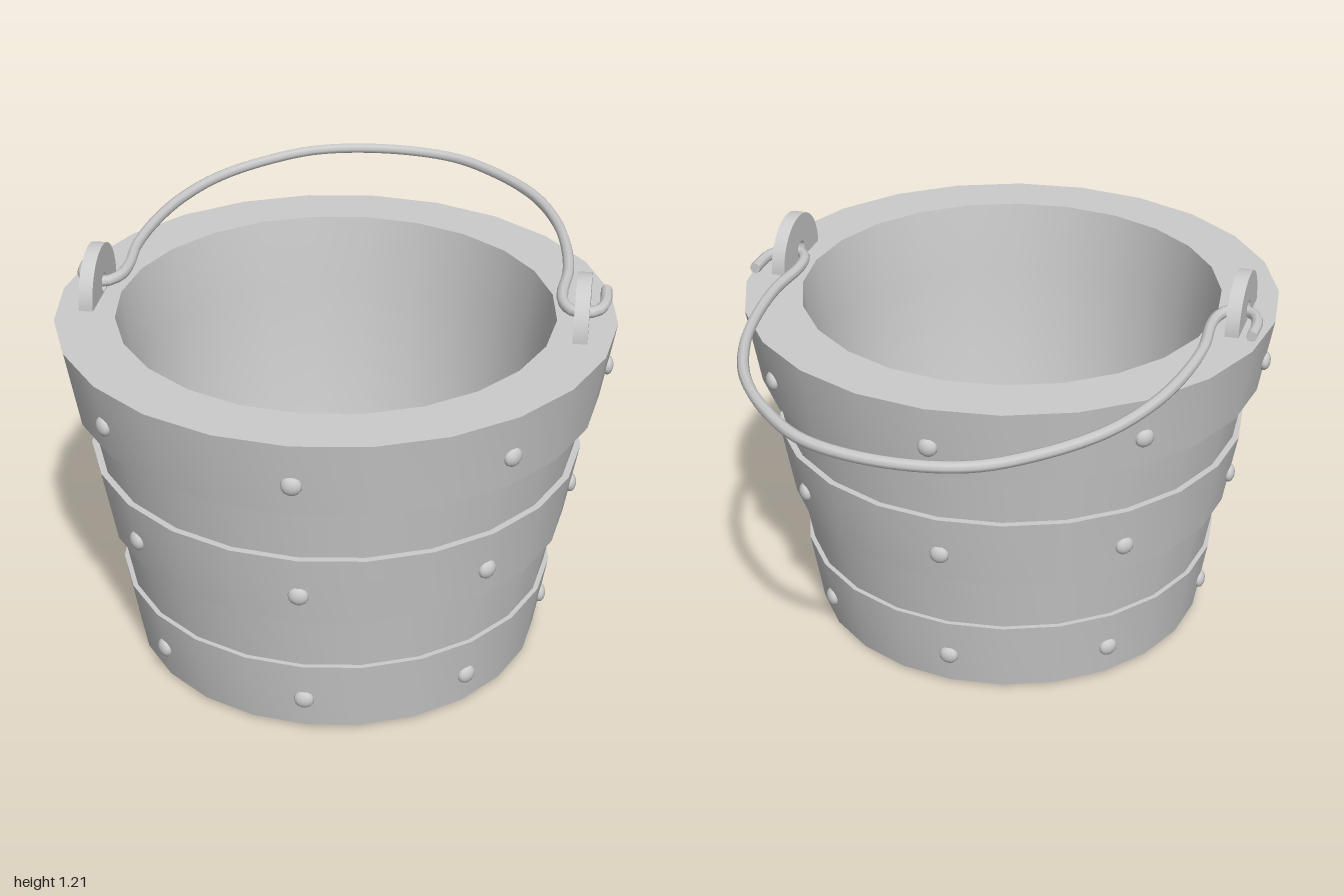
import * as THREE from 'three';
import { toCreasedNormals } from 'three/addons/utils/BufferGeometryUtils.js';

const SIDES = 24;
const TOP = 1.065;
const material = new THREE.MeshStandardMaterial({ color: 0xcccccc });

// Outer radius of the tapered wall at height y
const wallRadius = (y) => 0.604 + 0.17 * y;

function part(name, geometry) {
  const mesh = new THREE.Mesh(geometry, material);
  mesh.name = name;
  return mesh;
}

function lathe(points) {
  const profile = points.map(([r, y]) => new THREE.Vector2(r, y));
  return toCreasedNormals(new THREE.LatheGeometry(profile, SIDES), 0.6);
}

export function createModel() {
  const model = new THREE.Group();
  model.name = 'bucket';

  // The bucket sits forward of the origin, the lowered handle reaches back
  const pail = new THREE.Group();
  pail.name = 'pail';
  pail.position.z = 0.18;
  model.add(pail);

  // Wall, rim, hollow inside and floor in one profile
  pail.add(part('body', lathe([
    [0, 0], [0.55, 0], [wallRadius(0.008), 0.008], [wallRadius(TOP), TOP],
    [0.645, TOP], [0.615, 0.84], [0.56, 0.15], [0.545, 0.11], [0.51, 0.1], [0, 0.1],
  ])));

  // Bands: bottom height and radius, top height and radius, rivet height
  const bands = [
    { name: 'lowerBand', y0: 0.01, r0: 0.622, y1: 0.243, r1: 0.66, rivetY: 0.115 },
    { name: 'middleBand', y0: 0.425, r0: 0.695, y1: 0.655, r1: 0.735, rivetY: 0.525 },
    { name: 'upperBand', y0: 0.83, r0: 0.78, y1: TOP, r1: 0.82, rivetY: 0.932 },
  ];
  const rivetGeometry = new THREE.SphereGeometry(0.03, 12, 8);
  rivetGeometry.scale(1, 0.95, 0.6);

  for (const { name, y0, r0, y1, r1, rivetY } of bands) {
    pail.add(part(name, lathe([
      [wallRadius(y0), y0], [r0, y0], [r1, y1], [wallRadius(y1), y1],
    ])));

    // Eight rivets around each band
    const radius = THREE.MathUtils.lerp(r0, r1, (rivetY - y0) / (y1 - y0));
    for (let i = 0; i < 8; i++) {
      const angle = (i * Math.PI) / 4;
      const rivet = part('rivet', rivetGeometry);
      rivet.position.set(Math.sin(angle) * radius, rivetY, Math.cos(angle) * radius);
      rivet.rotation.y = angle;
      pail.add(rivet);
    }
  }

  // Half-round ears with a hole for the handle
  const earShape = new THREE.Shape();
  earShape.moveTo(-0.14, -0.01);
  earShape.lineTo(0.14, -0.01);
  earShape.absarc(0, 0.005, 0.14, 0, Math.PI, false);
  earShape.closePath();
  const hole = new THREE.Path();
  hole.absarc(0, 0.03, 0.028, 0, Math.PI * 2, true);
  earShape.holes.push(hole);
  const earGeometry = new THREE.ExtrudeGeometry(earShape, {
    depth: 0.042, bevelEnabled: false, curveSegments: 10,
  });
  earGeometry.translate(0, 0, -0.021);
  earGeometry.rotateY(Math.PI / 2);
  const smoothEar = toCreasedNormals(earGeometry, 0.6);
  for (const side of [-1, 1]) {
    const ear = part(side > 0 ? 'leftEar' : 'rightEar', smoothEar);
    ear.position.set(side * 0.716, TOP, 0);
    pail.add(ear);
  }

  // Wire handle lying back, hooked through both ears: half path as x, z
  const half = [
    [0.23, -0.94], [0.39, -0.82], [0.52, -0.66], [0.6, -0.48], [0.643, -0.3],
    [0.662, -0.1], [0.652, 0.05], [0.66, 0.12], [0.685, 0.163], [0.72, 0.175],
    [0.757, 0.157], [0.778, 0.11], [0.78, 0.01],
  ];
  const path = [
    ...half.map(([x, z]) => [-x, z]).reverse(), [0, -0.983], ...half,
  ].map(([x, z]) => new THREE.Vector3(x, 1.092, z));
  const curve = new THREE.CatmullRomCurve3(path);
  model.add(part('handle', new THREE.TubeGeometry(curve, 120, 0.017, 8)));

  // Flat ends of the wire
  for (const t of [0, 1]) {
    const end = part('handleEnd', new THREE.CircleGeometry(0.017, 8));
    const direction = curve.getTangentAt(t).multiplyScalar(t ? 1 : -1);
    end.position.copy(curve.getPointAt(t));
    end.quaternion.setFromUnitVectors(new THREE.Vector3(0, 0, 1), direction);
    model.add(end);
  }

  return model;
}
